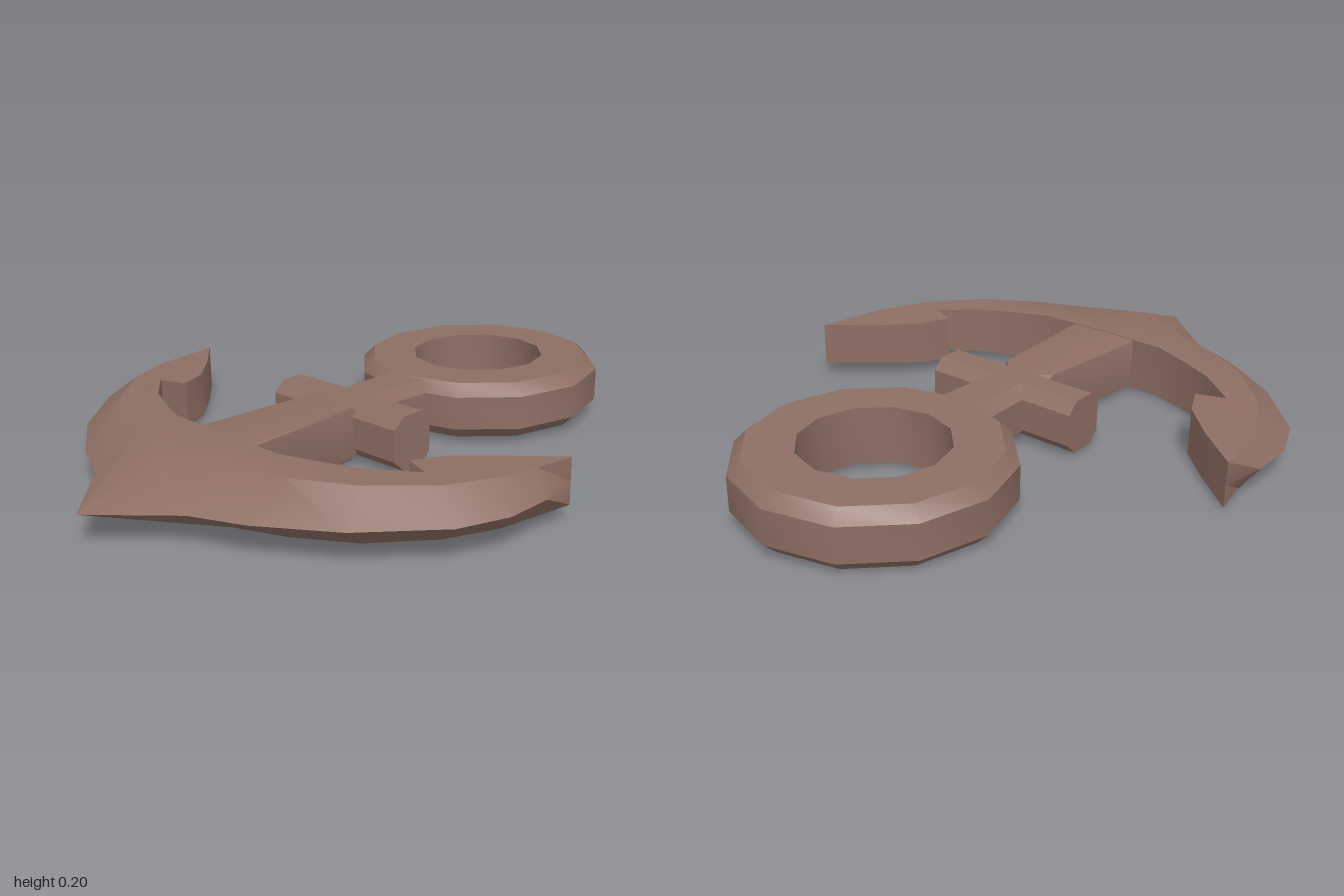
import * as THREE from 'three';
import { toCreasedNormals } from 'three/addons/utils/BufferGeometryUtils.js';

// Skin a list of equal-length closed cross-sections and cap both ends
function loft(sections) {
  const n = sections[0].length, last = (sections.length - 1) * n;
  const index = [];
  for (let i = 0; i < sections.length - 1; i++) {
    for (let j = 0; j < n; j++) {
      const a = i * n + j, b = i * n + (j + 1) % n;
      index.push(a, b, b + n, a, b + n, a + n);
    }
  }
  for (let j = 1; j < n - 1; j++) {
    index.push(0, j + 1, j, last, last + j, last + j + 1);
  }
  const geometry = new THREE.BufferGeometry();
  geometry.setAttribute('position', new THREE.Float32BufferAttribute(sections.flat(2), 3));
  geometry.setIndex(index);
  return geometry;
}

// Chamfered bar outline: full half width w, flat half width f, half height h, side half height s
const chamfered = (w, f, h, s) => [
  [w, s], [f, h], [-f, h], [-w, s], [-w, -s], [-f, -h], [f, -h], [w, -s],
];

export function createModel() {
  const model = new THREE.Group();
  model.name = 'anchor';
  const brown = new THREE.MeshStandardMaterial({ color: 0x8d6e63 });
  brown.name = 'brown';

  function add(name, geometry) {
    const mesh = new THREE.Mesh(toCreasedNormals(geometry, 0.6), brown);
    mesh.name = name;
    model.add(mesh);
    return mesh;
  }

  // Twelve-sided ring with chamfered outer rim
  const ringProfile = [
    [0.22, -0.09], [0.365, -0.09], [0.403, -0.053], [0.403, 0.053],
    [0.365, 0.09], [0.22, 0.09], [0.22, -0.09],
  ].map(([r, y]) => new THREE.Vector2(r, y));
  add('ring', new THREE.LatheGeometry(ringProfile, 12)).position.z = -0.597;

  // Shank: chamfered above the stock, square-edged and widening below it
  const shank = [
    [-0.3, 0.104, 0.068, 0.053], [0.05, 0.088, 0.053, 0.053],
    [0.1, 0.09, 0.087, 0.08], [0.56, 0.127, 0.117, 0.08],
  ].map(([z, w, f, s]) => chamfered(w, f, 0.085, s).map(([u, v]) => [u, v, z]));
  add('shank', loft(shank));

  // Stock: chamfered crossbar
  const stock = [-0.265, 0.265].map((x) =>
    chamfered(0.075, 0.04, 0.085, 0.05).map(([u, v]) => [x, v, 0.02 - u]));
  add('stock', loft(stock));

  // Arms: outer knife edge, crease and inner edge in plan, then half height
  const stations = [
    [0, 1, 0, 0.75, 0, 0.51, 0.088],
    [0.21, 0.81, 0.2, 0.66, 0.23, 0.505, 0.086],
    [0.37, 0.74, 0.36, 0.6, 0.35, 0.46, 0.083],
    [0.58, 0.6, 0.53, 0.5, 0.46, 0.41, 0.08],
    [0.76, 0.4, 0.67, 0.35, 0.6, 0.3, 0.075],
    [0.76, 0.4, 0.67, 0.35, 0.495, 0.28, 0.075], // barb
    [0.815, 0.25, 0.74, 0.2, 0.54, 0.18, 0.073],
    [0.815, 0.1, 0.765, 0.08, 0.65, 0.07, 0.07],
    [0.785, -0.045, 0.785, -0.045, 0.785, -0.045, 0.07], // tip
  ];
  const section = (side) => ([ox, oz, cx, cz, ix, iz, h]) => [
    [side * ix, h, iz], [side * cx, h, cz], [side * ox, 0, oz],
    [side * cx, -h, cz], [side * ix, -h, iz],
  ];
  const leftHalf = stations.map(section(1));
  const rightHalf = stations.slice(1).reverse().map(section(-1));
  add('arms', loft([...rightHalf, ...leftHalf]));

  // Lies on the ground with a slight roll
  model.rotation.z = 0.023;
  model.position.y = 0.099;
  const root = new THREE.Group();
  root.add(model);
  return root;
}
